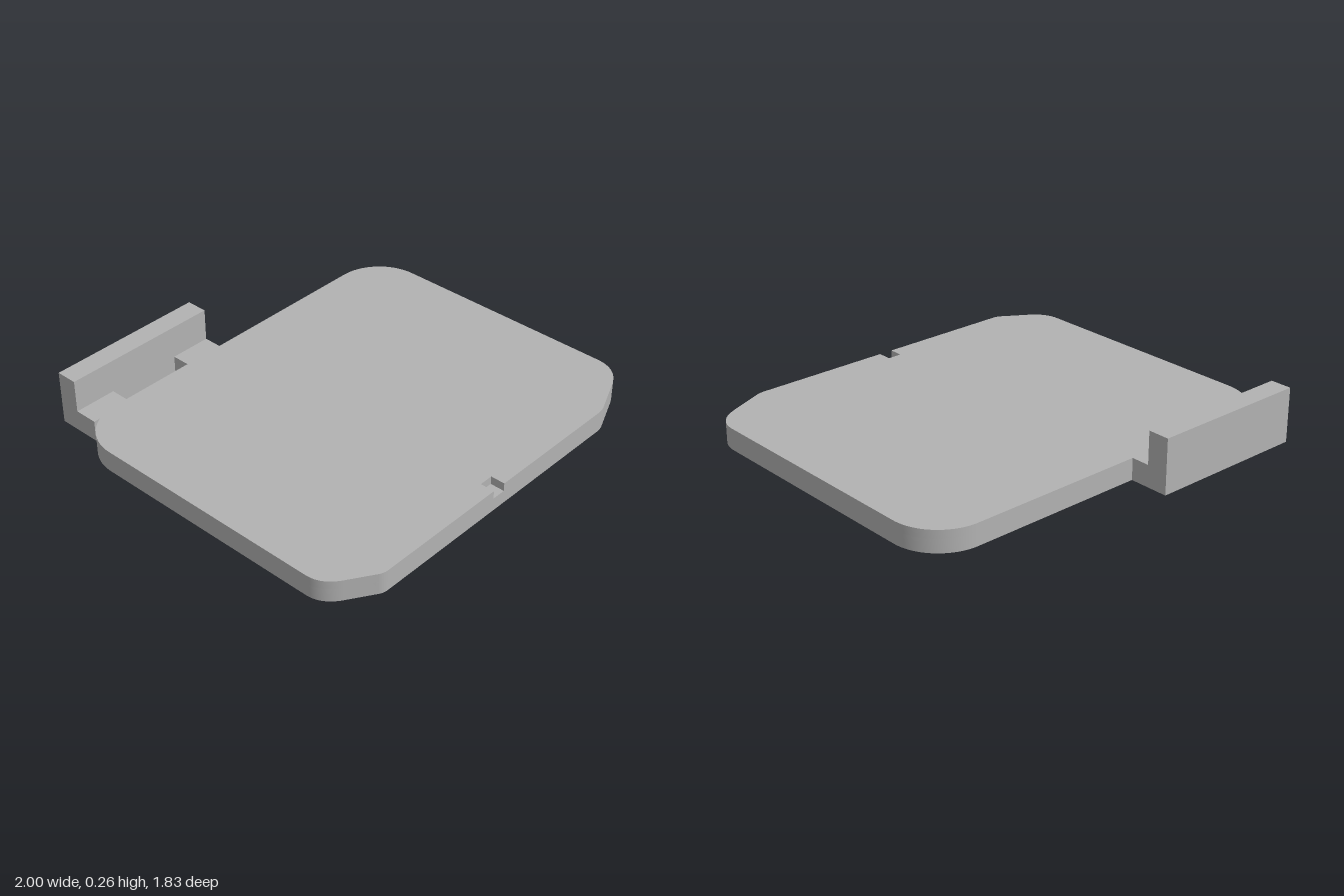
import * as THREE from 'three';
import { toCreasedNormals } from 'three/addons/utils/BufferGeometryUtils.js';

const PLATE_TOP = 0.105, NOTCH_FLOOR = 0.065;
const BACK = -0.72, FRONT = 0.91, TAB_BACK = -0.915, WALL_FRONT = -0.81;

// Plan outline drawn with shape y = -z
function plateShape(notched) {
  const s = new THREE.Shape();
  const line = (x, z) => s.lineTo(x, -z);
  const curve = (cx, cz, x, z) => s.quadraticCurveTo(cx, -cz, x, -z);
  s.moveTo(-0.76, -FRONT);
  // front edge, with the small latch notch
  if (notched) {
    line(-0.09, FRONT); line(-0.09, 0.84);
    line(-0.02, 0.84); line(-0.02, FRONT);
  }
  // front left corner, partly chamfered
  line(0.66, FRONT);
  curve(0.685, 0.91, 0.71, 0.9);
  line(0.88, 0.827);
  curve(1, 0.775, 1, 0.66);
  // rounded back left corner
  line(1, -0.48);
  s.absarc(0.76, 0.48, 0.24, 0, Math.PI / 2, false);
  // hinge tab
  line(-0.11, BACK); line(-0.11, TAB_BACK);
  line(-0.9, TAB_BACK); line(-0.9, -0.695); line(-0.865, -0.695);
  // rounded back right corner
  s.absarc(-0.76, 0.48, 0.24, Math.PI - Math.asin(0.215 / 0.24), Math.PI, false);
  // front right corner, partly chamfered
  line(-1, 0.69);
  curve(-1, 0.775, -0.91, 0.828);
  line(-0.81, 0.892);
  curve(-0.785, 0.91, -0.76, FRONT);

  // slot between the two arms
  const slot = new THREE.Path();
  slot.moveTo(-0.69, -BACK);
  slot.lineTo(-0.69, -WALL_FRONT);
  slot.lineTo(-0.315, -WALL_FRONT);
  slot.lineTo(-0.315, -BACK);
  slot.closePath();
  s.holes.push(slot);
  return s;
}

function layer(name, notched, y0, y1, material) {
  const g = new THREE.ExtrudeGeometry(plateShape(notched), {
    depth: y1 - y0, bevelEnabled: false, curveSegments: 16,
  });
  g.rotateX(-Math.PI / 2);
  g.translate(0, y0, 0);
  const mesh = new THREE.Mesh(toCreasedNormals(g, 0.45), material);
  mesh.name = name;
  return mesh;
}

export function createModel() {
  const model = new THREE.Group();
  model.name = 'coverPlate';
  const grey = new THREE.MeshStandardMaterial({ color: 0xb2b2b2 });
  grey.name = 'plain grey';

  // Plate in two layers so the notch only cuts the upper one
  model.add(layer('lowerPlate', false, 0, NOTCH_FLOOR, grey));
  model.add(layer('upperPlate', true, NOTCH_FLOOR, PLATE_TOP, grey));

  // Upright wall at the back of the tab
  const height = 0.265 - PLATE_TOP;
  const wall = new THREE.Mesh(
    new THREE.BoxGeometry(0.79, height, WALL_FRONT - TAB_BACK), grey);
  wall.position.set(-0.505, PLATE_TOP + height / 2, (WALL_FRONT + TAB_BACK) / 2);
  wall.name = 'backWall';
  model.add(wall);
  return model;
}
